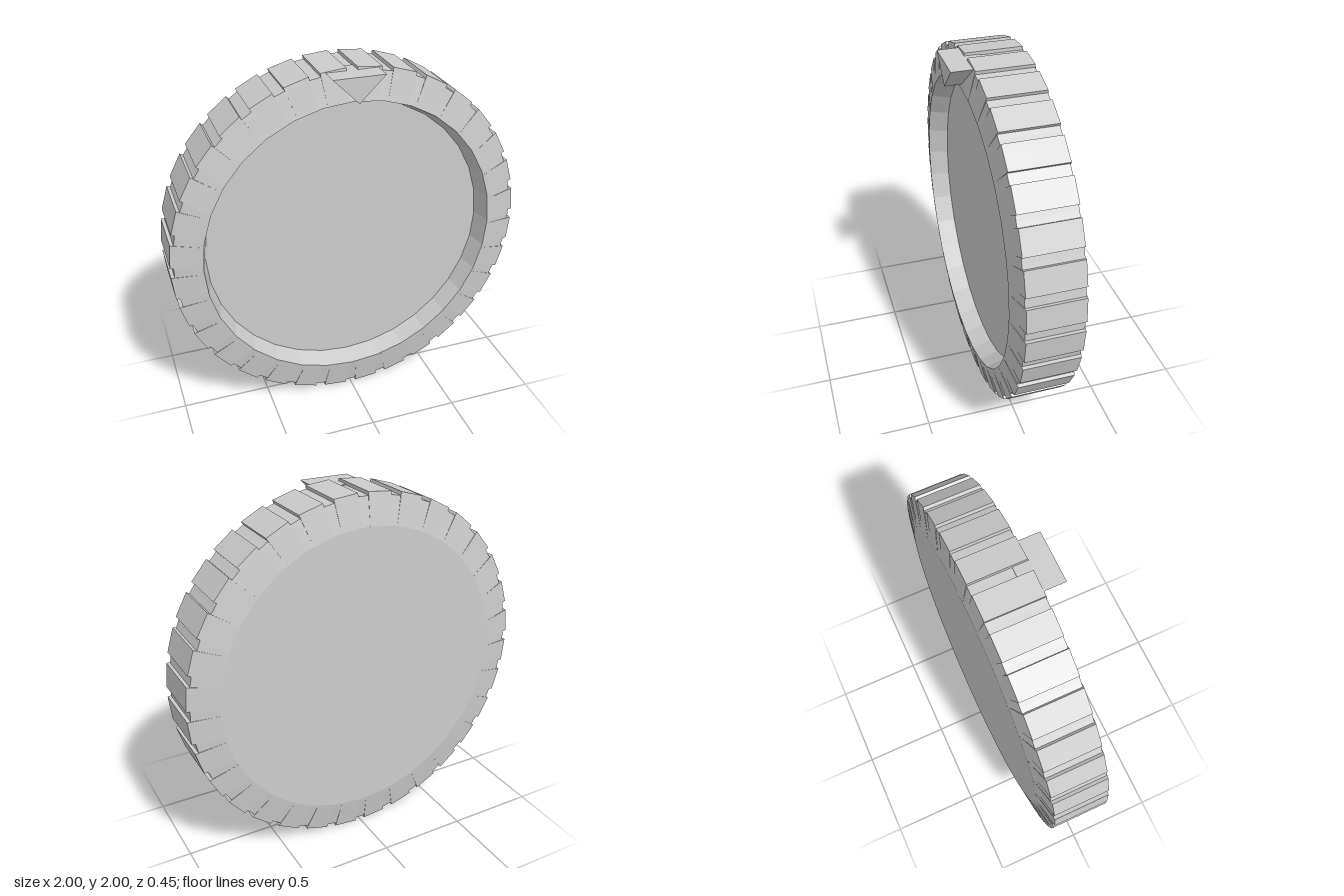
import * as THREE from 'three';

const TEETH = 32;
const STEP = (Math.PI * 2) / TEETH;
const HALF_NOTCH = 0.03;

// Outline samples within one period: notch centre, notch end, tooth start, tooth end, next notch start
const SAMPLES = [
  [0, 0.98],
  [HALF_NOTCH, 0.981],
  [HALF_NOTCH, 1],
  [STEP - HALF_NOTCH, 1],
  [STEP - HALF_NOTCH, 0.981],
];

// Closed ring of points: the toothed outline, or a plain 32-sided polygon of radius r
function ring({ r, z, toothed }) {
  const points = [];
  for (let k = 0; k < TEETH; k++) {
    for (const [local, outer] of SAMPLES) {
      const a = k * STEP + local;
      const radius = toothed ? outer : (r * Math.cos(STEP / 2)) / Math.cos(local - STEP / 2);
      points.push(new THREE.Vector3(radius * Math.cos(a), radius * Math.sin(a), z));
    }
  }
  return points;
}

// Surface between two rings
function band(name, from, to, material) {
  const a = ring(from);
  const b = ring(to);
  const positions = [];
  const tri = (...corners) => corners.forEach((p) => positions.push(p.x, p.y, p.z));
  for (let i = 0; i < a.length; i++) {
    const n = (i + 1) % a.length;
    if (from.r !== 0) tri(a[i], a[n], b[n]);
    if (to.r !== 0) tri(a[i], b[n], b[i]);
  }
  const geometry = new THREE.BufferGeometry();
  geometry.setAttribute('position', new THREE.Float32BufferAttribute(positions, 3));
  geometry.computeVertexNormals();
  const mesh = new THREE.Mesh(geometry, material);
  mesh.name = name;
  return mesh;
}

export function createModel() {
  const model = new THREE.Group();
  model.name = 'grippedCap';
  const grey = new THREE.MeshStandardMaterial({ color: 0xcccccc, flatShading: true });
  grey.name = 'light grey';

  // Disc body, from the centre of the back around to the centre of the recess
  const disc = new THREE.Group();
  disc.name = 'disc';
  disc.position.y = 1;
  const profile = [
    { r: 0, z: -0.225 },
    { r: 0.83, z: -0.225 },
    { toothed: true, z: -0.195 },
    { toothed: true, z: 0.11 },
    { r: 0.83, z: 0.14 },
    { r: 0.8, z: 0.03 },
    { r: 0, z: 0.03 },
  ];
  const names = ['backFace', 'backBevel', 'toothedRim', 'frontBevel', 'recessWall', 'recessFloor'];
  names.forEach((name, i) => disc.add(band(name, profile[i], profile[i + 1], grey)));
  model.add(disc);

  // Triangular pointer standing out at the top of the front
  const triangle = new THREE.Shape([
    new THREE.Vector2(-0.14, 1.985),
    new THREE.Vector2(0, 1.848),
    new THREE.Vector2(0.14, 1.985),
  ]);
  const pointer = new THREE.Mesh(
    new THREE.ExtrudeGeometry(triangle, { depth: 0.195, bevelEnabled: false }),
    grey
  );
  pointer.name = 'pointer';
  pointer.position.z = 0.03;
  model.add(pointer);

  return model;
}
